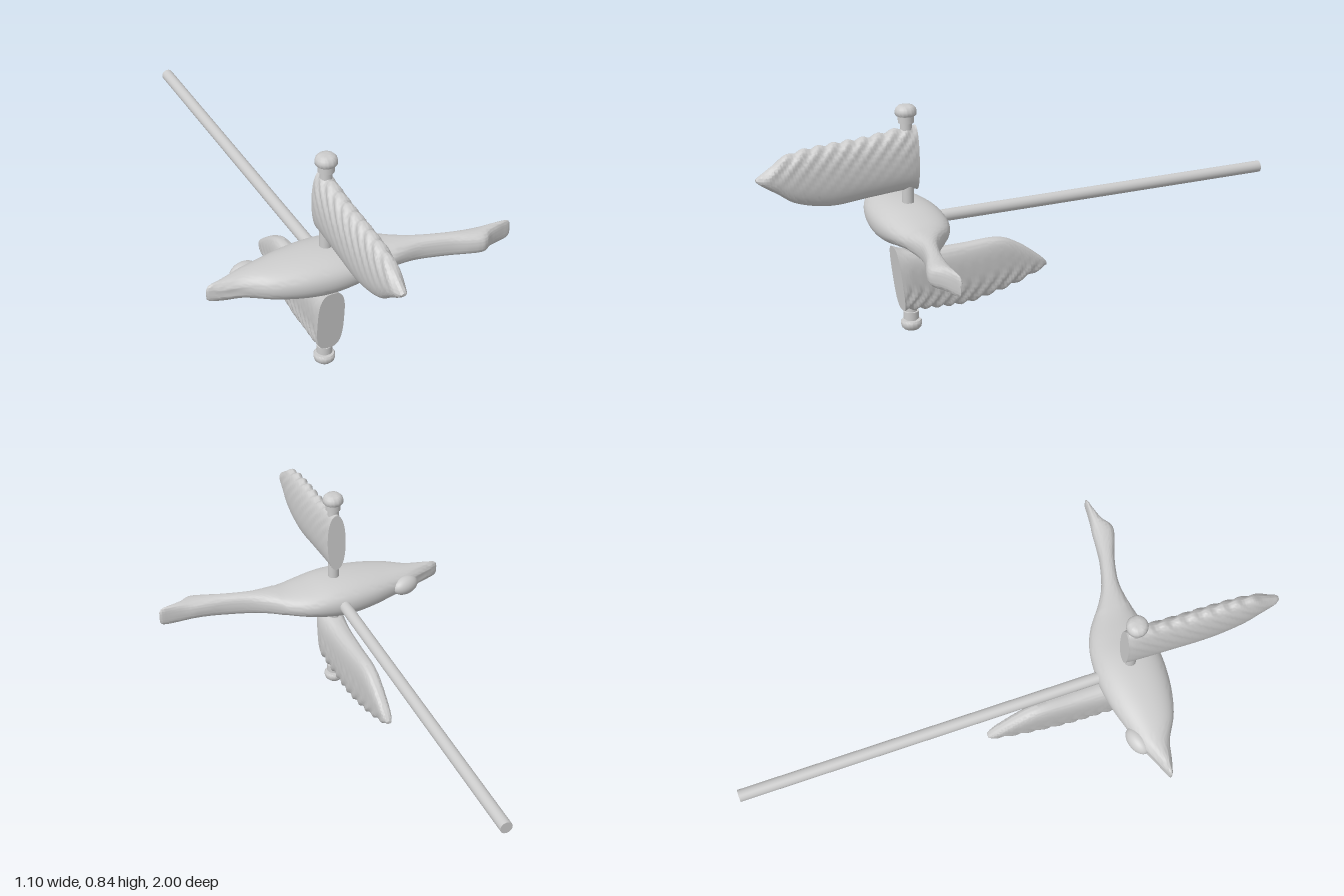
import * as THREE from 'three';
import { toCreasedNormals } from 'three/addons/utils/BufferGeometryUtils.js';

const material = new THREE.MeshStandardMaterial({ color: 0xcccccc });
const AXLE_X = -0.119, AXLE_Z = 0.457, MID_Y = 0.415;

// Smoothly interpolate the rows of a section table, t from 0 to 1
function sample(table, t) {
  const f = t * (table.length - 1);
  const i = Math.min(Math.floor(f), table.length - 2), u = f - i;
  const row = (k) => table[THREE.MathUtils.clamp(k, 0, table.length - 1)];
  return table[0].map((_, c) => {
    const a = row(i - 1)[c], b = row(i)[c], d = row(i + 1)[c], e = row(i + 2)[c];
    return b + 0.5 * u * (d - a + u * (2 * a - 5 * b + 4 * d - e + u * (3 * (b - d) + e - a)));
  });
}

// Closed skin through rings of points, with both ends capped
function loft(rings, sides, point) {
  const pos = [], index = [];
  const centre = (r) => {
    const c = new THREE.Vector3();
    for (let j = 0; j < sides; j++) c.add(new THREE.Vector3().fromArray(pos, (r * sides + j) * 3));
    return c.divideScalar(sides).toArray();
  };
  for (let i = 0; i <= rings; i++)
    for (let j = 0; j < sides; j++) pos.push(...point(i / rings, (j / sides) * Math.PI * 2));
  for (let i = 0; i < rings; i++)
    for (let j = 0; j < sides; j++) {
      const k = (j + 1) % sides, a = i * sides, b = a + sides;
      index.push(a + j, a + k, b + k, a + j, b + k, b + j);
    }
  const start = pos.length / 3, last = rings * sides;
  pos.push(...centre(0), ...centre(rings));
  for (let j = 0; j < sides; j++) {
    const k = (j + 1) % sides;
    index.push(start, k, j, start + 1, last + j, last + k);
  }
  const geo = new THREE.BufferGeometry();
  geo.setAttribute('position', new THREE.Float32BufferAttribute(pos, 3));
  geo.setIndex(index);
  return toCreasedNormals(geo, 0.9);
}

const power = (v, p) => Math.sign(v) * Math.abs(v) ** p;

// Wing from rows of [z, top y, bottom y, half thickness];
// featherSide is +1 when the feathered edge is on top, -1 when below
function wingGeometry(rows, featherSide, squareness, skew) {
  return loft(130, 48, (t, a) => {
    const [z, top, bottom, half] = sample(rows, t);
    const c = power(Math.cos(a), squareness), s = power(Math.sin(a), squareness);
    let y = (top + bottom) / 2 + (s * (top - bottom)) / 2;
    // Diagonal feather grooves fade out towards the smooth edge and the ends
    const fade = THREE.MathUtils.smoothstep(s * featherSide, -0.7, 0.7)
      * Math.min(1, t * 8, (1 - t) * 8);
    const groove = fade * (0.5 + 0.5 * Math.sin(((z + 0.9 * y) / 0.05) * Math.PI * 2));
    y -= featherSide * 0.009 * groove * Math.abs(s);
    const x = AXLE_X + c * half * (1 - 0.17 * groove);
    return [x, y, z + skew * t * (y - 0.2)];
  });
}

export function createModel() {
  const model = new THREE.Group();
  const add = (name, geometry, x = 0, y = 0, z = 0) => {
    const mesh = new THREE.Mesh(geometry, material);
    mesh.name = name;
    mesh.position.set(x, y, z);
    model.add(mesh);
    return mesh;
  };

  // Bird body from tail to bill: [x, top y, bottom y, back z, belly z]
  const bodyRows = [
    [-0.548, 0.435, 0.396, 0.452, 0.459],
    [-0.535, 0.447, 0.385, 0.444, 0.465],
    [-0.49, 0.453, 0.377, 0.425, 0.48],
    [-0.42, 0.461, 0.371, 0.395, 0.5],
    [-0.34, 0.472, 0.36, 0.372, 0.545],
    [-0.25, 0.482, 0.345, 0.349, 0.572],
    [-0.16, 0.487, 0.337, 0.336, 0.584],
    [-0.08, 0.484, 0.343, 0.337, 0.584],
    [0, 0.471, 0.359, 0.35, 0.573],
    [0.07, 0.461, 0.37, 0.382, 0.557],
    [0.14, 0.459, 0.373, 0.435, 0.543],
    [0.21, 0.458, 0.373, 0.475, 0.54],
    [0.3, 0.457, 0.374, 0.502, 0.56],
    [0.37, 0.456, 0.376, 0.512, 0.587],
    [0.42, 0.456, 0.376, 0.517, 0.597],
    [0.46, 0.456, 0.376, 0.524, 0.57],
    [0.51, 0.455, 0.377, 0.53, 0.552],
    [0.538, 0.45, 0.382, 0.532, 0.545],
    [0.548, 0.437, 0.393, 0.535, 0.541],
  ];
  add('birdBody', loft(110, 48, (t, a) => {
    const [x, top, bottom, back, belly] = sample(bodyRows, t);
    const square = x > 0.1 ? 0.8 : 0.9;
    const c = power(Math.cos(a), square), s = power(Math.sin(a), square);
    // Shallow feather ridges on the tail
    const ridge = 1 - 0.1 * THREE.MathUtils.smoothstep(-x, 0.4, 0.47) * (0.5 + 0.5 * Math.cos(8 * a));
    return [x, (top + bottom) / 2 + (c * (top - bottom)) / 2,
      (back + belly) / 2 + (s * ridge * (belly - back)) / 2];
  }));

  // Rounded curl on the back of the tail
  const curl = add('tailCurl', new THREE.SphereGeometry(1, 28, 18), -0.388, MID_Y, 0.39);
  curl.scale.set(0.056, 0.036, 0.034);
  curl.rotation.y = 0.3;

  // Upper wing points forward, lower wing points back
  add('upperWing', wingGeometry([
    [0.423, 0.765, 0.53, 0.036],
    [0.47, 0.765, 0.534, 0.042],
    [0.6, 0.747, 0.525, 0.043],
    [0.74, 0.739, 0.515, 0.042],
    [0.86, 0.727, 0.54, 0.037],
    [0.93, 0.7, 0.585, 0.029],
    [0.98, 0.663, 0.618, 0.02],
    [1.0, 0.645, 0.635, 0.008],
  ], 1, 0.9, 0));
  add('lowerWing', wingGeometry([
    [-0.08, 0.175, 0.16, 0.01],
    [-0.05, 0.205, 0.143, 0.02],
    [0.03, 0.265, 0.113, 0.028],
    [0.11, 0.298, 0.092, 0.034],
    [0.25, 0.296, 0.066, 0.04],
    [0.38, 0.297, 0.07, 0.046],
    [0.47, 0.312, 0.078, 0.054],
    [0.505, 0.327, 0.08, 0.05],
  ], -1, 0.65, 0.12));

  // Axle through the body and wings
  add('axle', new THREE.CylinderGeometry(0.021, 0.021, 0.8, 32), AXLE_X, 0.42, AXLE_Z);

  // Long handle behind the body
  const handle = add('handle', new THREE.CylinderGeometry(0.022, 0.022, 1.45, 32), AXLE_X, MID_Y, -0.275);
  handle.rotation.x = Math.PI / 2;

  // Collar and domed cap on each end of the axle
  const capProfile = [[0, 0], [0.034, 0], [0.038, 0.005], [0.038, 0.016], [0.035, 0.026], [0.027, 0.034], [0.014, 0.037], [0, 0.037]];
  const capGeometry = toCreasedNormals(
    new THREE.LatheGeometry(capProfile.map(([r, y]) => new THREE.Vector2(r, y)), 40), 0.7);
  const collarGeometry = new THREE.CylinderGeometry(0.028, 0.028, 0.028, 40);
  add('upperCollar', collarGeometry, AXLE_X, 0.791, AXLE_Z);
  add('upperCap', capGeometry, AXLE_X, 0.803, AXLE_Z);
  add('lowerCollar', collarGeometry, AXLE_X, 0.058, AXLE_Z);
  add('lowerCap', capGeometry, AXLE_X, 0.038, AXLE_Z).rotation.x = Math.PI;

  return model;
}
